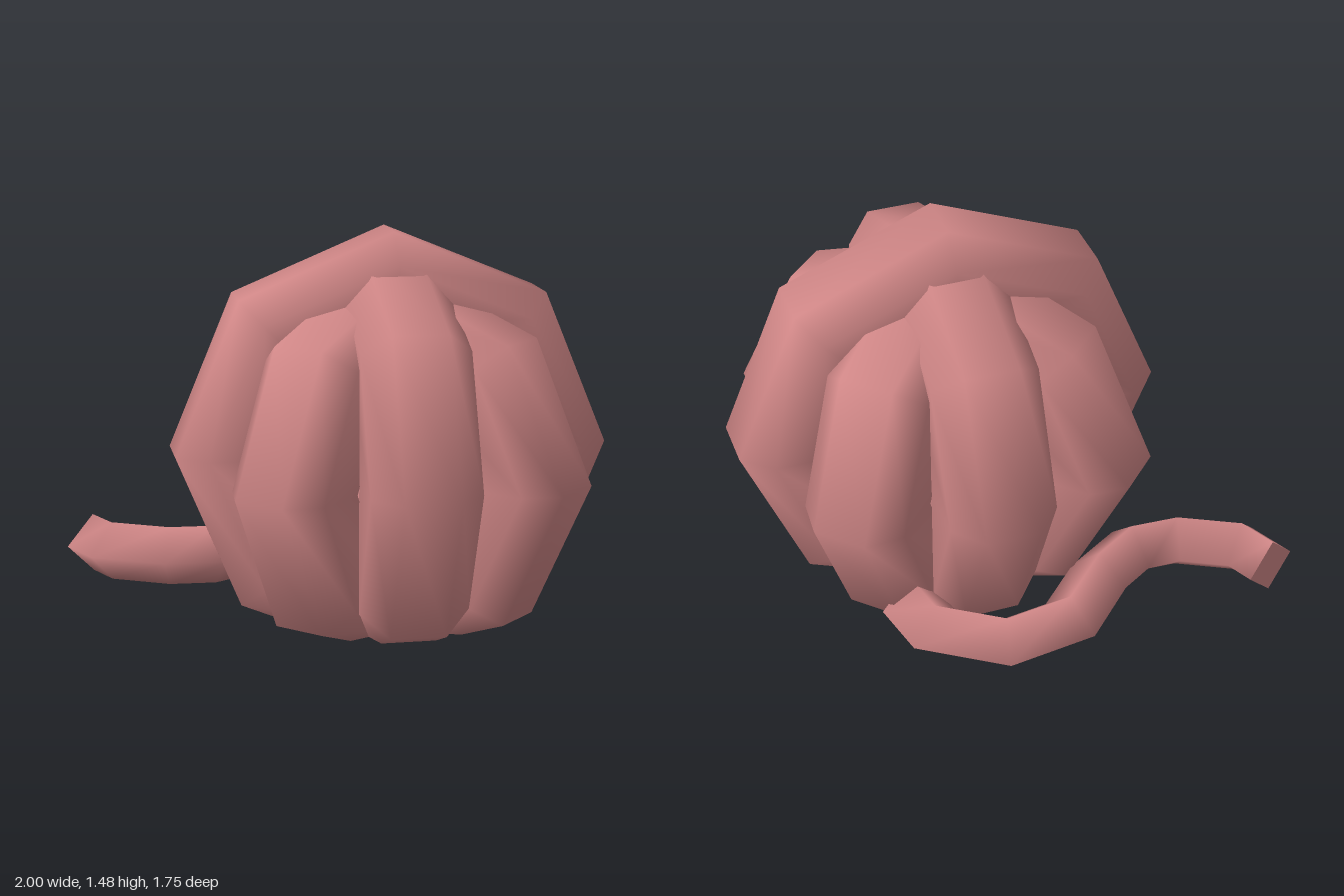
import * as THREE from 'three';

const yarn = new THREE.MeshStandardMaterial({ color: 0xcf8686 });
yarn.name = 'dusty pink yarn';

function makeGeometry(points, index) {
  const g = new THREE.BufferGeometry();
  g.setAttribute('position', new THREE.Float32BufferAttribute(points.flat(), 3));
  g.setIndex(index);
  g.computeVertexNormals();
  return g;
}

// Skin a list of closed cross-sections with smooth normals
function loft(sections) {
  const n = sections[0].length;
  const index = [];
  for (let i = 0; i < sections.length - 1; i++) {
    for (let j = 0; j < n; j++) {
      const k = (j + 1) % n;
      const a = i * n + j, b = i * n + k, c = a + n, d = b + n;
      index.push(a, b, c, b, d, c);
    }
  }
  return makeGeometry(sections.flat(), index);
}

// Flat polygon from ordered corners
function polygon(corners) {
  const index = [];
  for (let i = 1; i < corners.length - 1; i++) index.push(0, i, i + 1);
  return makeGeometry(corners, index);
}

function addMesh(parent, geometry, name) {
  const mesh = new THREE.Mesh(geometry, yarn);
  mesh.name = name;
  parent.add(mesh);
}

// Strand cross-section: [radius, sideways offset]
const strand = [
  [0.705, 0.203], [0.82, 0.103], [0.82, -0.103], [0.705, -0.203],
  [0.5, -0.203], [0.42, -0.103], [0.42, 0.103], [0.5, 0.203],
];

// Eight-sided loop of yarn, cut flat at the ground
function yarnLoop(name, centreY, squash, turn) {
  const group = new THREE.Group();
  group.name = name;
  const station = (deg) => {
    const a = THREE.MathUtils.degToRad(deg);
    return strand.map(([r, w]) => [Math.cos(a) * r, centreY + squash * Math.sin(a) * r, w]);
  };
  const cut = (upper, lower) => upper.map((p, j) => {
    const q = lower[j];
    const t = Math.min(1, p[1] / (p[1] - q[1]));
    return p.map((v, k) => v + (q[k] - v) * t);
  });
  const sections = [];
  for (let deg = -45; deg <= 225; deg += 45) sections.push(station(deg));
  const bottom = station(-90);
  const first = cut(sections[0], bottom);
  const last = cut(sections[sections.length - 1], bottom);
  addMesh(group, loft([first, ...sections, last]), name + 'Strand');
  const outline = [...first.slice(0, 4), ...last.slice(0, 4).reverse()];
  addMesh(group, polygon(outline.reverse()), name + 'Base');
  group.rotation.y = turn;
  return group;
}

// Loose end: a four-sided strand lying on the ground
function looseEnd() {
  const group = new THREE.Group();
  group.name = 'looseEnd';
  const R = 0.118;
  const path = [
    [-0.895, -0.69], [-0.83, -0.55], [-0.61, -0.435], [-0.425, -0.425],
    [-0.25, -0.53], [-0.06, -0.72], [0.2, -0.755], [0.43, -0.6], [0.47, -0.42],
  ].map(([x, z]) => new THREE.Vector2(x, z));
  const sections = path.map((p, i) => {
    const into = path[Math.max(i, 1)].clone().sub(path[Math.max(i, 1) - 1]).normalize();
    const m = Math.min(i, path.length - 2);
    const out = path[m + 1].clone().sub(path[m]).normalize();
    const dir = into.clone().add(out).normalize();
    const half = R / dir.dot(out);
    const nx = -dir.y * half, nz = dir.x * half;
    return [
      [p.x, 2 * R, p.y], [p.x + nx, R, p.y + nz],
      [p.x, 0, p.y], [p.x - nx, R, p.y - nz],
    ];
  });
  addMesh(group, loft(sections), 'looseEndStrand');
  addMesh(group, polygon([...sections[0]].reverse()), 'looseEndTip');
  addMesh(group, polygon(sections[sections.length - 1]), 'looseEndRoot');
  return group;
}

export function createModel() {
  const model = new THREE.Group();
  model.name = 'yarnBall';

  // Ball of four crossing loops, each slightly flatter than the one over it
  const ball = new THREE.Group();
  ball.name = 'ball';
  ball.position.set(0.18, 0, 0.05);
  ball.add(yarnLoop('outerLoop', 0.66, 1, 0));
  ball.add(yarnLoop('crossLoop', 0.625, 0.957, Math.PI / 2));
  ball.add(yarnLoop('leftDiagonalLoop', 0.59, 0.9, Math.PI / 4));
  ball.add(yarnLoop('rightDiagonalLoop', 0.59, 0.9, -Math.PI / 4));
  model.add(ball, looseEnd());
  return model;
}
